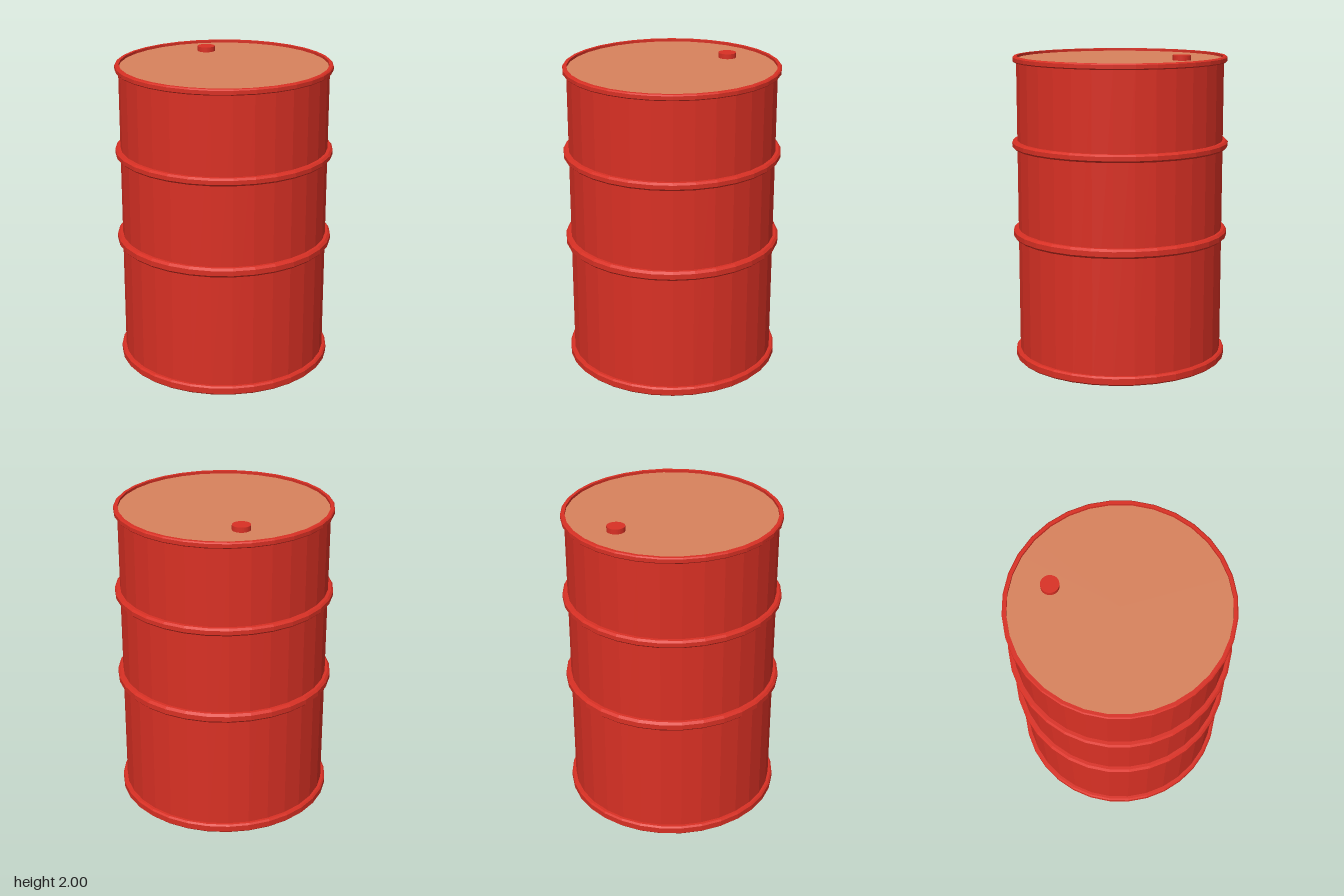
import * as THREE from 'three';

const SIDES = 32;
const RADIUS = 0.665;

export function createModel() {
  const group = new THREE.Group();
  const red = new THREE.MeshStandardMaterial({ color: 0xd93024, flatShading: true });
  const tan = new THREE.MeshStandardMaterial({ color: 0xd8825c, flatShading: true });

  const add = (name, geometry, material, y = 0, z = 0) => {
    const mesh = new THREE.Mesh(geometry, material);
    mesh.name = name;
    mesh.position.set(0, y, z);
    group.add(mesh);
    return mesh;
  };

  // Closed ring with chamfered outer edges, from y = 0 up to height
  const ring = (outer, height, chamfer, inner = RADIUS - 0.004) =>
    new THREE.LatheGeometry(
      [
        [inner, 0],
        [outer - chamfer, 0],
        [outer, chamfer],
        [outer, height - chamfer],
        [outer - chamfer, height],
        [inner, height],
        [inner, 0],
      ].map(([x, y]) => new THREE.Vector2(x, y)),
      SIDES
    );

  // Drum wall
  const wall = new THREE.CylinderGeometry(RADIUS, RADIUS, 1.96, SIDES, 1, true);
  add('wall', wall, red, 0.985);

  // End rims
  add('bottomRim', ring(0.692, 0.057, 0.01), red, 0.003);
  add('topRim', ring(0.688, 0.037, 0.007), red, 1.948);

  // Rolling hoops
  add('lowerHoop', ring(0.698, 0.06, 0.014), red, 0.81);
  add('upperHoop', ring(0.698, 0.05, 0.012), red, 1.397);

  // Slightly recessed end plates
  const plate = new THREE.CircleGeometry(RADIUS, SIDES);
  add('lid', plate, tan, 1.968).rotation.x = -Math.PI / 2;
  add('base', plate, tan, 0.008).rotation.x = Math.PI / 2;

  // Filler cap near the back of the lid
  add('fillerCap', new THREE.CylinderGeometry(0.057, 0.057, 0.04, SIDES), red, 1.98, -0.43);

  return group;
}
